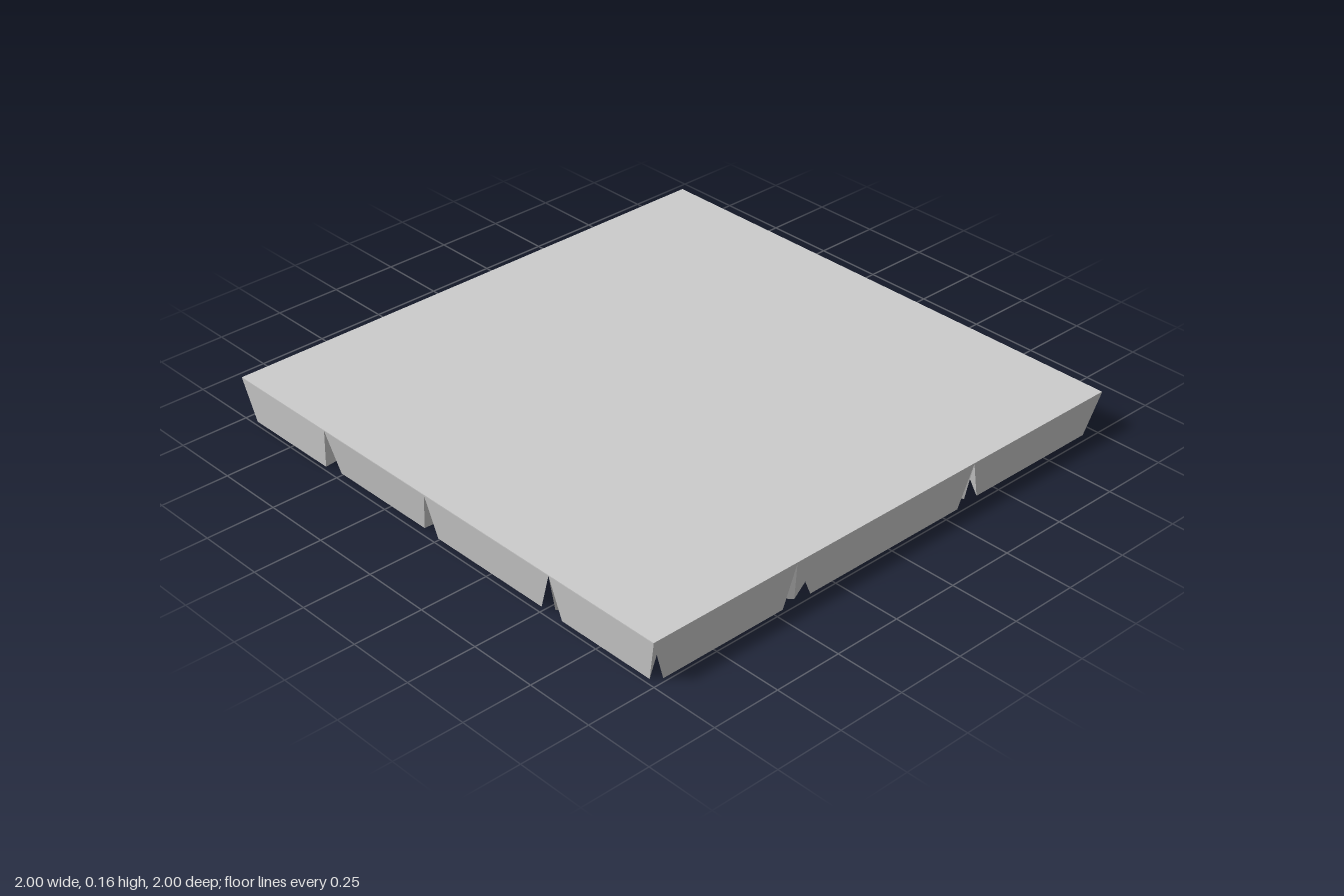
import * as THREE from 'three';
import { ConvexGeometry } from 'three/addons/geometries/ConvexGeometry.js';

const HEIGHT = 0.158;   // overall thickness
const SKIN = 0.003;     // thin sheet joining all tiles
const TAPER = 0.84;     // bottom outline of a tile relative to its top

// Fold-pattern nodes as [x, z]
const NODES = {
  // corners
  c1: [1, 1], c2: [1, -1], c3: [-1, -1], c4: [-1, 1],
  // front, +x side, back and -x side edges
  f1: [-0.55, 1], f2: [-0.04, 1], f3: [0.545, 1],
  r1: [1, -0.37], r2: [1, 0.42],
  b1: [0.245, -1], b2: [-0.44, -1],
  l1: [-1, -0.345], l2: [-1, 0.255],
  // interior
  p1: [0.72, -0.2], p2: [0.54, -0.71], p3: [-0.23, -0.72],
  p4: [-0.115, -0.07], p5: [-0.03, 0.59], p6: [-0.76, -0.455],
  p7: [-0.665, 0.14], p8: [-0.58, 0.73], p9: [0.745, 0.66],
};

// Tiles as lists of node names
const TILES = [
  'c2 r1 p2', 'c2 b1 p2', 'b1 p2 p3', 'b1 b2 p3', 'b2 c3 p3', 'c3 p3 p6',
  'c3 l1 p6', 'l1 p6 p7', 'l1 l2 p7', 'l2 p7 p8', 'l2 c4 p8', 'c4 f1 p8',
  'f1 f2 p5 p8', 'f2 f3 p5', 'f3 p5 p9', 'f3 c1 p9', 'c1 r2 p9',
  'r2 p9 p1', 'r1 r2 p1', 'r1 p1 p2', 'p1 p2 p4', 'p2 p3 p4', 'p3 p4 p6',
  'p4 p6 p7', 'p4 p5 p7', 'p5 p7 p8', 'p1 p4 p5', 'p1 p5 p9',
];

// Tapered block: full outline at the sheet, shrunk about its centre at the bottom
function tileGeometry(names) {
  const outline = names.split(' ').map((n) => NODES[n]);
  const cx = outline.reduce((s, p) => s + p[0], 0) / outline.length;
  const cz = outline.reduce((s, p) => s + p[1], 0) / outline.length;
  const points = [];
  for (const [x, z] of outline) {
    points.push(new THREE.Vector3(x, HEIGHT - SKIN, z));
    points.push(new THREE.Vector3(cx + (x - cx) * TAPER, 0, cz + (z - cz) * TAPER));
  }
  return new ConvexGeometry(points);
}

export function createModel() {
  const model = new THREE.Group();
  model.name = 'foldingPanel';
  const material = new THREE.MeshStandardMaterial({ color: 0xcccccc, flatShading: true });

  // Top sheet
  const sheet = new THREE.Mesh(new THREE.BoxGeometry(2, SKIN, 2), material);
  sheet.name = 'topSheet';
  sheet.position.y = HEIGHT - SKIN / 2;
  model.add(sheet);

  // Tiles underneath, separated by V-shaped grooves
  const tiles = new THREE.Group();
  tiles.name = 'tiles';
  TILES.forEach((names, i) => {
    const tile = new THREE.Mesh(tileGeometry(names), material);
    tile.name = `tile${i + 1}`;
    tiles.add(tile);
  });
  model.add(tiles);

  return model;
}
